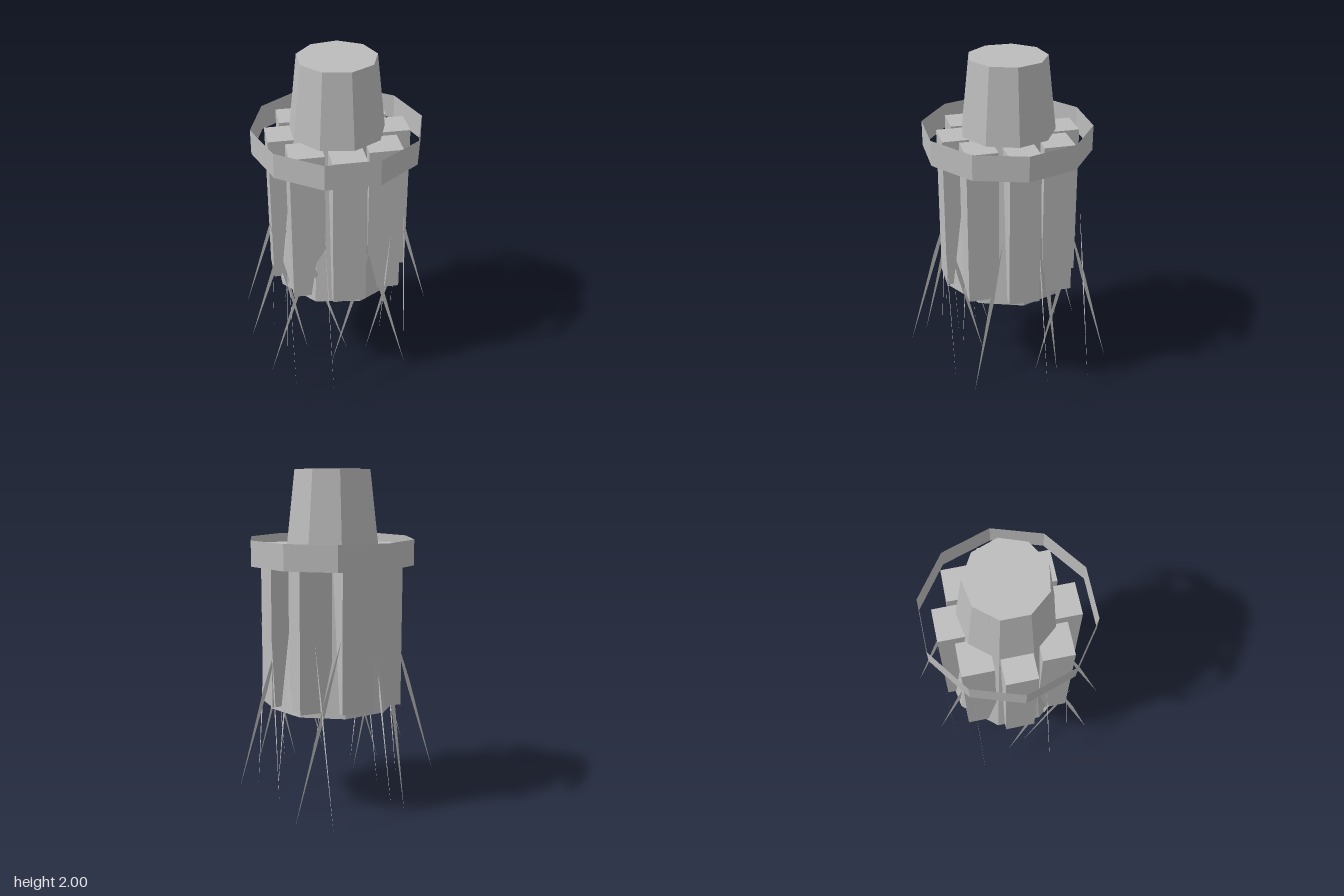
import * as THREE from 'three';

const CX = -0.028, CZ = -0.01;

export function createModel() {
  const model = new THREE.Group();
  const stone = new THREE.MeshStandardMaterial({ color: 0xbcbcbc, flatShading: true });
  stone.name = 'grey';
  const thinStone = new THREE.MeshStandardMaterial({ color: 0xbcbcbc, flatShading: true, side: THREE.DoubleSide });
  thinStone.name = 'grey thin';

  const add = (name, geometry, material, x, y, z, turn = 0) => {
    const mesh = new THREE.Mesh(geometry, material);
    mesh.name = name;
    mesh.position.set(x, y, z);
    mesh.rotation.y = turn;
    model.add(mesh);
    return mesh;
  };

  // Tapered nine-sided core, running the full height of the body
  add('core', new THREE.CylinderGeometry(0.228, 0.388, 1.4, 9), stone, CX, 1.3, CZ, Math.PI / 2);

  // Open ten-sided collar
  add('collar', new THREE.CylinderGeometry(0.495, 0.495, 0.15, 10, 1, true), thinStone,
    CX, 1.525, CZ + 0.004, Math.PI / 2);

  // Eight upright blocks, all square to the axes
  const block = new THREE.BoxGeometry(0.193, 0.93, 0.18);
  for (let i = 0; i < 8; i++) {
    const a = i * Math.PI / 4;
    add('block', block, stone, CX + 0.311 * Math.cos(a), 1.095, CZ + 0.311 * Math.sin(a));
  }

  // Flat upright slivers: pointed at both ends, widest below the top
  const sliver = (bx, by, tx, ty) => {
    const mid = 0.62, half = 0.013;
    const mx = bx + (tx - bx) * mid, my = by + (ty - by) * mid;
    return new THREE.ShapeGeometry(new THREE.Shape([
      new THREE.Vector2(bx, by), new THREE.Vector2(mx + half, my),
      new THREE.Vector2(tx, ty), new THREE.Vector2(mx - half, my),
    ]));
  };

  // Slivers leaning sideways: bottom x, y, top x, y, depth z
  const sideways = [
    [-0.6, 0.25, -0.35, 1.04, 0.16], [-0.595, 0.18, -0.31, 1.1, -0.27],
    [-0.5, 0.08, -0.19, 1.1, 0.31], [-0.25, 0.08, -0.46, 1.1, 0.155],
    [-0.33, 0, -0.19, 1.1, -0.42], [-0.025, 0.18, -0.31, 1.1, 0.31],
    [-0.14, 0.17, 0.115, 1.1, 0.4], [0.09, 0.17, 0.32, 1.1, 0.31],
    [0.32, 0.1, 0.05, 1.1, 0.4], [0.365, 0.01, 0.08, 1.08, -0.43],
    [0.585, 0.17, 0.32, 1.1, -0.1],
  ];
  for (const [bx, by, tx, ty, z] of sideways) {
    add('sliver', sliver(bx, by, tx, ty), thinStone, 0, 0, z);
  }

  // Slivers leaning front to back: bottom z, y, top z, y, offset x
  const lengthways = [
    [0.6, 0.1, 0.31, 1.1, -0.16], [0.475, 0.02, 0.24, 1.0, -0.37],
    [0.2, 0.2, 0.42, 1.1, 0.2], [0.29, 0.02, 0.11, 1.04, 0.35],
    [0.04, 0.01, 0.31, 1.04, -0.37], [-0.085, 0.1, 0.11, 1.04, -0.44],
    [-0.22, 0.1, -0.105, 1.1, 0.385], [-0.09, 0.1, -0.32, 1.05, 0.35],
    [-0.51, 0.1, -0.245, 1.1, -0.195], [-0.6, 0.02, -0.32, 1.05, 0.2],
  ];
  for (const [bz, by, tz, ty, x] of lengthways) {
    add('sliver', sliver(-bz, by, -tz, ty), thinStone, x, 0, 0, Math.PI / 2);
  }
  return model;
}
